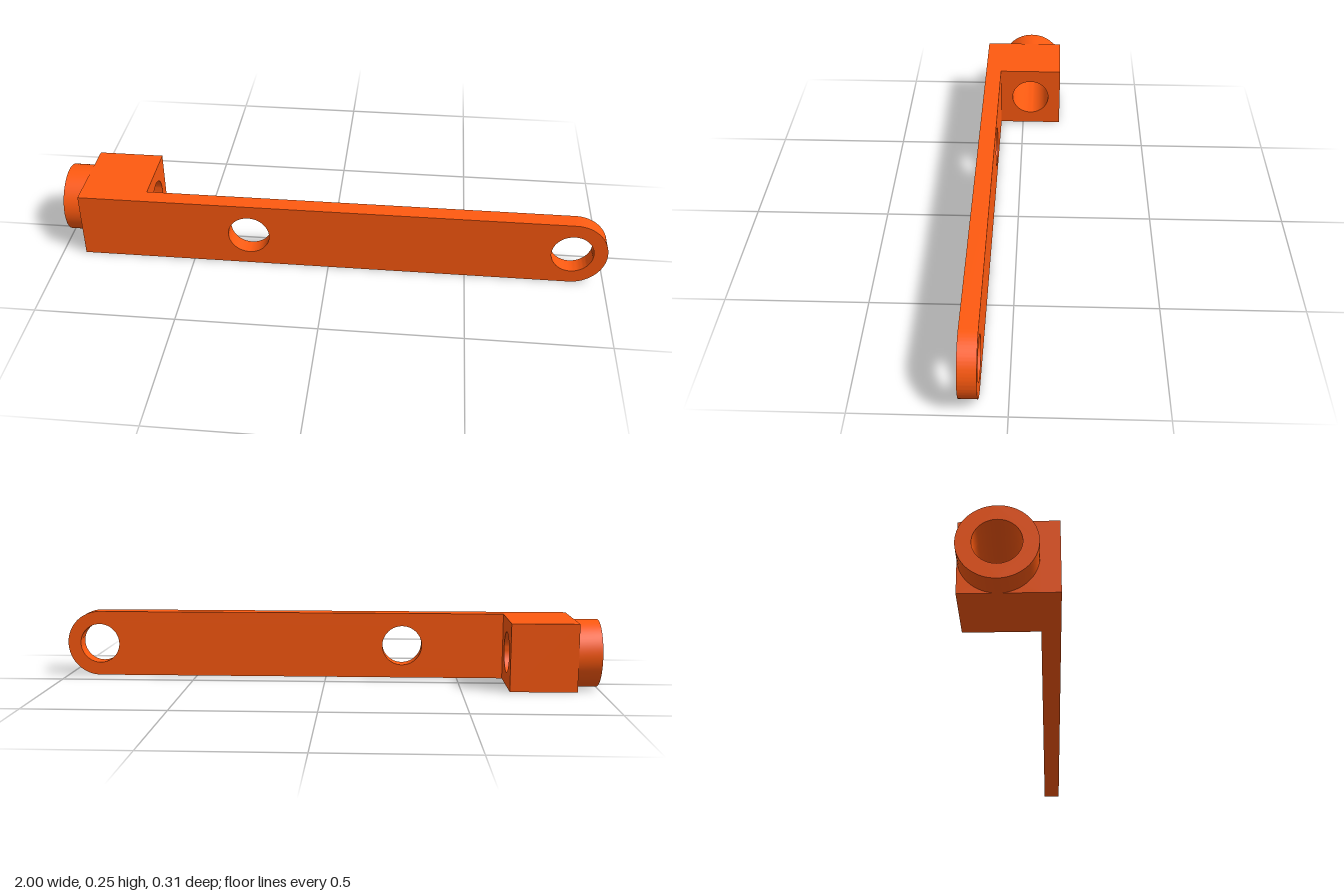
import * as THREE from 'three';
import { toCreasedNormals } from 'three/addons/utils/BufferGeometryUtils.js';

const R = 0.124;        // half height of the bar
const HOLE = 0.075;     // radius of every hole
const BACK = -0.155, STEP = 0.093, FRONT = 0.155; // z levels
const LEFT = -0.915, RIGHT = 0.876, BLOCK_END = -0.673;

function addHole(shape, x) {
  shape.holes.push(new THREE.Path().absarc(x, 0, HOLE, 0, Math.PI * 2, true));
}

function extrude(shape, depth) {
  const geometry = new THREE.ExtrudeGeometry(shape, { depth, bevelEnabled: false, curveSegments: 32 });
  return toCreasedNormals(geometry, Math.PI / 6);
}

export function createModel() {
  const group = new THREE.Group();
  const material = new THREE.MeshStandardMaterial({ color: 0xff5a10 });

  function add(name, geometry, x, z) {
    const mesh = new THREE.Mesh(geometry, material);
    mesh.name = name;
    mesh.position.set(x, R, z);
    group.add(mesh);
  }

  // Flat arm with one rounded end and two holes
  const arm = new THREE.Shape();
  arm.moveTo(LEFT, -R);
  arm.lineTo(RIGHT, -R);
  arm.absarc(RIGHT, 0, R, -Math.PI / 2, Math.PI / 2, false);
  arm.lineTo(LEFT, R);
  arm.closePath();
  addHole(arm, -0.291);
  addHole(arm, RIGHT);
  add('arm', extrude(arm, FRONT - STEP), 0, STEP);

  // Square block behind the arm, bored along x
  const block = new THREE.Shape([[-R, -R], [R, -R], [R, R], [-R, R]].map(p => new THREE.Vector2(...p)));
  addHole(block, 0);
  const boreZ = (BACK + STEP) / 2;
  add('block', extrude(block, BLOCK_END - LEFT).rotateY(Math.PI / 2), LEFT, boreZ);

  // Round collar that continues the bore
  const collar = new THREE.Shape().absarc(0, 0, R, 0, Math.PI * 2, false);
  addHole(collar, 0);
  add('collar', extrude(collar, LEFT + 1).rotateY(Math.PI / 2), -1, boreZ);

  return group;
}
